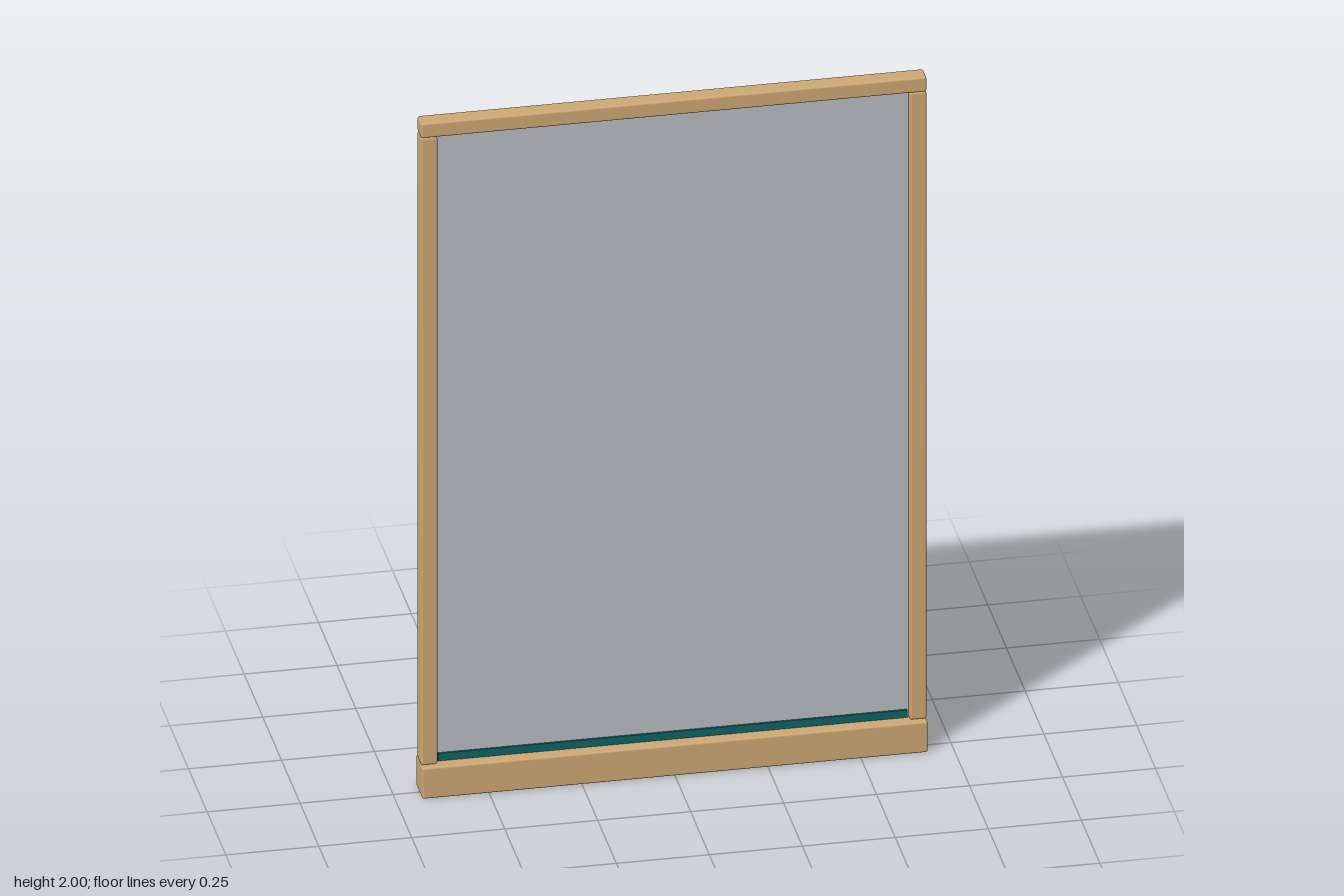
import * as THREE from 'three';
import { RoundedBoxGeometry } from 'three/addons/geometries/RoundedBoxGeometry.js';

export function createModel() {
  const group = new THREE.Group();
  const material = (name, color) => {
    const m = new THREE.MeshStandardMaterial({ color });
    m.name = name;
    return m;
  };
  const wood = material('wood', 0xcba673);
  const grey = material('panelGrey', 0xb6babf);
  const teal = material('tealTrim', 0x0f6264);

  const add = (name, geometry, mat, x, y, z) => {
    const mesh = new THREE.Mesh(geometry, mat);
    mesh.name = name;
    mesh.position.set(x, y, z);
    group.add(mesh);
  };
  // Timber bar with slightly eased edges
  const bar = (w, h, d) => new RoundedBoxGeometry(w, h, d, 2, 0.006);

  // Frame: heavy bottom rail, slim top rail, two posts
  add('bottomRail', bar(1.36, 0.092, 0.086), wood, 0, 0.046, 0);
  add('topRail', bar(1.36, 0.044, 0.05), wood, 0, 1.978, 0);
  for (const [name, side] of [['leftPost', 1], ['rightPost', -1]]) {
    add(name, bar(0.045, 1.866, 0.05), wood, side * 0.6575, 1.024, 0);
  }

  // Thin infill panel, set into the middle of the frame
  add('panel', new THREE.BoxGeometry(1.28, 1.872, 0.006), grey, 0, 1.025, 0);

  // Coloured strip along the foot of the panel, on the front only
  add('bottomStrip', new THREE.BoxGeometry(1.262, 0.022, 0.006), teal, 0, 0.103, 0.006);

  return group;
}
